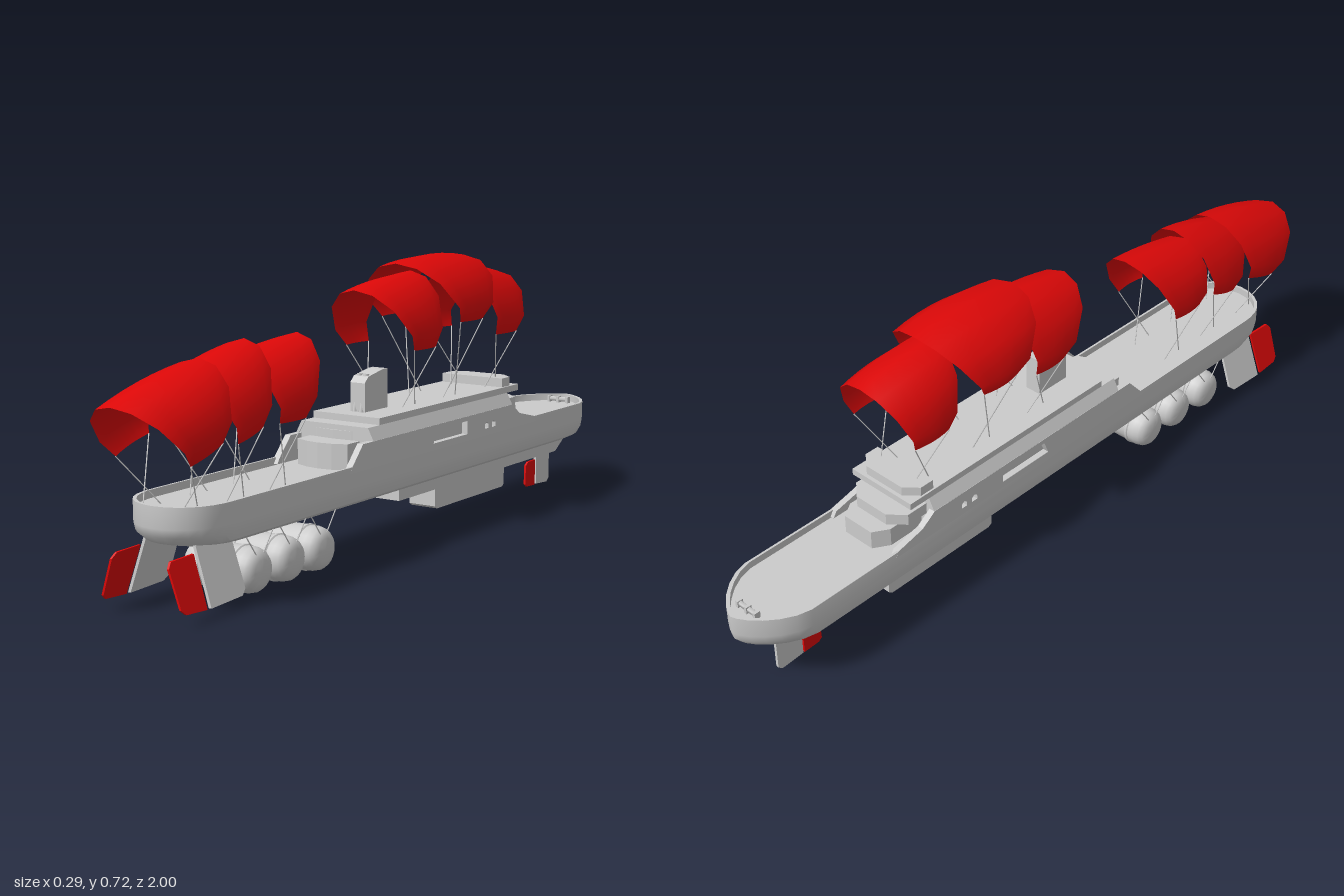
import * as THREE from 'three';
import { toCreasedNormals } from 'three/addons/utils/BufferGeometryUtils.js';

const grey = new THREE.MeshStandardMaterial({ color: 0xcccccc });
const red = new THREE.MeshStandardMaterial({ color: 0xdd0808 });
const sail = new THREE.MeshStandardMaterial({ color: 0xdd0808, side: THREE.DoubleSide });

export function createModel() {
  const model = new THREE.Group();
  const add = (name, geo, mat = grey, parent = model) => {
    const mesh = new THREE.Mesh(geo, mat);
    mesh.name = name;
    parent.add(mesh);
    return mesh;
  };
  const group = (name) => {
    const g = new THREE.Group();
    g.name = name;
    model.add(g);
    return g;
  };
  const box = (name, x0, x1, y0, y1, z0, z1, parent) =>
    add(name, new THREE.BoxGeometry(x1 - x0, y1 - y0, z1 - z0)
      .translate((x0 + x1) / 2, (y0 + y1) / 2, (z0 + z1) / 2), grey, parent);
  const toShape = (pts) => new THREE.Shape(pts.map(p => new THREE.Vector2(...p)));
  const extrude = (shape, depth) => new THREE.ExtrudeGeometry(shape, { depth, bevelEnabled: false, curveSegments: 6 });
  // Upright plate from (z, y) points, centred on x = 0
  const plate = (pts, width, holes = []) => {
    const shape = toShape(pts);
    shape.holes = holes.map(toShape);
    return extrude(shape, width).translate(0, 0, -width / 2).rotateY(-Math.PI / 2);
  };
  // Prism from a plan of (x, z) points
  const prism = (pts, y0, y1) =>
    extrude(toShape(pts.map(([x, z]) => [x, -z])), y1 - y0).rotateX(-Math.PI / 2).translate(0, y0, 0);
  const rod = (name, a, b, radius, parent) => {
    const p = new THREE.Vector3(...a), q = new THREE.Vector3(...b);
    const mesh = add(name, new THREE.CylinderGeometry(radius, radius, p.distanceTo(q), 5), grey, parent);
    mesh.position.copy(p).lerp(q, 0.5);
    mesh.quaternion.setFromUnitVectors(new THREE.Vector3(0, 1, 0), q.sub(p).normalize());
  };

  // Hull: stacked plan outlines, ending in the bulwark and sunken deck
  // each ring: y, half width, stern z, bow z
  const rings = [
    [0.148, 0.06, 0.76, -0.9], [0.152, 0.085, 0.8, -0.94], [0.165, 0.108, 0.85, -0.98],
    [0.185, 0.114, 0.875, -0.996], [0.205, 0.116, 0.88, -1], [0.255, 0.117, 0.88, -1],
    [0.255, 0.111, 0.872, -0.99], [0.236, 0.111, 0.872, -0.99]];
  const M = 14, N = 2 * M + 2;
  const pos = [], idx = [];
  for (const [y, w, zs, zb] of rings) {
    const side = [];
    for (let i = 0; i <= M; i++) {
      const stern = i <= M / 2;
      const a = (stern ? i / (M / 2) : (M - i + 0.0) / (M / 2 - 1)) * Math.PI / 2;
      const t = Math.cos(a);
      side.push(stern
        ? [w * Math.sqrt(Math.max(0, 1 - t ** 2.4)), zs - 0.14 * (1 - t)]
        : [w * Math.max(0, 1 - t ** 1.6) ** 0.7, zb + 0.14 * (1 - t)]);
    }
    side.forEach(([x, z]) => pos.push(x, y, z));
    side.reverse().forEach(([x, z]) => pos.push(-x, y, z));
  }
  for (let r = 0; r < rings.length - 1; r++)
    for (let i = 0; i < N; i++) {
      const a = r * N + i, b = r * N + (i + 1) % N;
      idx.push(a, b, b + N, a, b + N, a + N);
    }
  const top = (rings.length - 1) * N;
  for (let i = 0; i < M; i++) {
    const a = i, b = i + 1, c = N - 2 - i, d = N - 1 - i;
    idx.push(top + a, top + b, top + c, top + a, top + c, top + d, a, c, b, a, d, c);
  }
  const hull = new THREE.BufferGeometry();
  hull.setAttribute('position', new THREE.Float32BufferAttribute(pos, 3));
  hull.setIndex(idx);
  add('hull', toCreasedNormals(hull, 0.7));

  // Keel trunk and the pod below it
  add('keel', plate([[-0.02, 0.155], [-0.02, 0.108], [-0.85, 0.108], [-0.925, 0.155]], 0.09));
  add('keelPod', plate([[-0.2, 0.11], [-0.2, 0.06], [-0.21, 0.053], [-0.55, 0.053], [-0.56, 0.06], [-0.56, 0.11]], 0.08));

  // Superstructure: chamfered core with side walls pierced by openings
  add('superstructure', extrude(toShape([[-0.1, 0.23], [0.1, 0.23], [0.1, 0.303], [0.117, 0.303],
    [0.1, 0.335], [-0.1, 0.335], [-0.117, 0.303], [-0.1, 0.303]]), 0.67).translate(0, 0, -0.47));
  const port = (z) => [[z - 0.009, 0.258], [z - 0.009, 0.27], [z, 0.276], [z + 0.009, 0.27], [z + 0.009, 0.258]];
  for (const s of [-1, 1])
    add('sideWall', plate(
      [[0.3, 0.24], [0.29, 0.255], [0.245, 0.304], [-0.47, 0.304], [-0.51, 0.275], [-0.59, 0.256], [-0.6, 0.24]], 0.017,
      [[[-0.07, 0.257], [-0.085, 0.292], [-0.235, 0.292], [-0.235, 0.257]], port(-0.335), port(-0.37)],
    ).translate(s * 0.1085, 0, 0));
  box('roofDeck', -0.1, 0.1, 0.335, 0.352, -0.53, 0.15);
  const bowed = (w, z0, z1, bulge) => [[-w, z0], [-w, z1], [-w * 0.5, z1 + bulge * 0.75], [0, z1 + bulge],
    [w * 0.5, z1 + bulge * 0.75], [w, z1], [w, z0]];
  add('aftLowerHouse', prism(bowed(0.075, 0.15, 0.25, 0.02), 0.23, 0.3));
  add('aftUpperHouse', prism(bowed(0.1, 0.15, 0.19, 0.015), 0.3, 0.322));
  add('foreLowerHouse', prism([[-0.07, -0.45], [0.07, -0.45], [0.07, -0.57], [0.045, -0.61], [-0.045, -0.61], [-0.07, -0.57]], 0.23, 0.285));
  add('foreUpperHouse', prism([[-0.09, -0.45], [0.09, -0.45], [0.09, -0.53], [0.05, -0.565], [-0.05, -0.565], [-0.09, -0.53]], 0.285, 0.315));
  add('bridge', prism([[-0.095, -0.45], [0.095, -0.45], [0.095, -0.49], [0.06, -0.52], [-0.06, -0.52], [-0.095, -0.49]], 0.352, 0.376));

  // Funnel with exhaust pipes
  add('funnel', plate([[0.1, 0.345], [0.1, 0.425], [0.085, 0.44], [0.02, 0.452], [0, 0.452], [0, 0.345]], 0.044));
  for (const s of [-1, 1]) rod('exhaustPipe', [s * 0.01, 0.35, 0.098], [s * 0.01, 0.445, 0.075], 0.008);

  // Bow mooring winch
  const winch = group('winch');
  rod('drum', [-0.032, 0.246, -0.95], [0.032, 0.246, -0.95], 0.007, winch);
  for (const x of [-0.03, 0, 0.03]) box('winchStand', x - 0.004, x + 0.004, 0.235, 0.254, -0.958, -0.942, winch);

  // Splayed stern rudders
  const splay = (geo, s) => {
    const p = geo.attributes.position;
    for (let i = 0; i < p.count; i++) p.setX(i, p.getX(i) + s * (0.062 + (0.19 - p.getY(i)) * 0.345));
    geo.computeVertexNormals();
    return geo;
  };
  for (const s of [-1, 1]) {
    add('sternFin', splay(plate([[0.70, 0.19], [0.70, 0.05], [0.715, 0.037], [0.825, 0.033], [0.82, 0.19]], 0.008), s));
    add('sternRudder', splay(plate([[0.832, 0.15], [0.837, 0.033], [0.905, 0.037], [0.917, 0.048],
      [0.92, 0.135], [0.908, 0.148]], 0.006), s), red);
  }
  // Single bow rudder
  add('bowFin', plate([[-0.81, 0.12], [-0.81, 0.012], [-0.875, 0.008], [-0.887, 0.018], [-0.887, 0.12]], 0.008));
  add('bowRudder', plate([[-0.805, 0.085], [-0.805, 0.01], [-0.76, 0.012], [-0.75, 0.02], [-0.752, 0.075], [-0.765, 0.084]], 0.006), red);

  // Three slung tanks
  const half = [[0, 0.1], [0.028, 0.101], [0.042, 0.095], [0.05, 0.085], [0.054, 0.07], [0.054, 0.052], [0.057, 0.05], [0.057, 0.044], [0.054, 0.042]];
  const profile = [...half.map(([r, x]) => [r, -x]), ...half.slice().reverse()].map(p => new THREE.Vector2(...p));
  for (const z of [0.62, 0.495, 0.375]) {
    const tank = group('tank');
    add('tankBody', toCreasedNormals(new THREE.LatheGeometry(profile, 24).rotateZ(Math.PI / 2).translate(0, 0.068, z), 0.6), grey, tank);
    for (const s of [-1, 1]) for (const d of [-1, 1])
      rod('tankSling', [s * 0.093, 0.09, z], [s * 0.093, 0.165, z + d * 0.055], 0.0015, tank);
  }

  // Kite canopies: arched sheets, wide in z at the crown and narrow at the tips
  const arch = [[0, 0], [0.42, 0.075], [0.8, 0.32], [1, 0.74], [0.88, 1]]; // x factor, drop factor
  const full = [...arch.slice(1).reverse().map(([x, d]) => [-x, d]), ...arch];
  // front / back crown and tip points as [z, y]
  function canopy(w, crownF, crownB, tipF, tipB, lift, anchorY) {
    const kite = group('kite');
    const V = 6, p = [], f = [];
    for (let j = 0; j <= V; j++) {
      const v = j / V, bow = 4 * v * (1 - v), mix = (a, b, k) => a[k] + (b[k] - a[k]) * v;
      for (const [x, d] of full) {
        const z = mix(crownF, crownB, 0) * (1 - d) + mix(tipF, tipB, 0) * d;
        const y = (mix(crownF, crownB, 1) + lift * bow) * (1 - d) + mix(tipF, tipB, 1) * d;
        p.push(x * w * (0.94 + 0.06 * bow), y, z);
      }
    }
    const n = full.length;
    for (let j = 0; j < V; j++) for (let i = 0; i < n - 1; i++) {
      const a = j * n + i;
      f.push(a, a + 1, a + n, a + 1, a + n + 1, a + n);
    }
    const geo = new THREE.BufferGeometry();
    geo.setAttribute('position', new THREE.Float32BufferAttribute(p, 3));
    geo.setIndex(f);
    geo.computeVertexNormals();
    add('canopy', geo, sail, kite);
    // Crossing tethers down to the deck
    const mid = (tipF[0] + tipB[0]) / 2;
    for (const s of [-1, 1]) {
      rod('tether', [s * w * 0.83, tipF[1], tipF[0]], [s * 0.053, anchorY, mid - 0.03], 0.0015, kite);
      rod('tether', [s * w * 0.83, tipB[1], tipB[0]], [s * 0.053, anchorY, mid + 0.03], 0.0015, kite);
    }
  }
  canopy(0.128, [1, 0.485], [0.71, 0.557], [0.87, 0.35], [0.76, 0.385], 0.008, 0.236);
  canopy(0.12, [0.78, 0.525], [0.55, 0.584], [0.7, 0.372], [0.61, 0.398], 0.006, 0.236);
  canopy(0.12, [0.6, 0.54], [0.35, 0.578], [0.55, 0.396], [0.45, 0.396], 0.004, 0.236);
  canopy(0.125, [0.115, 0.657], [-0.14, 0.688], [0, 0.502], [-0.1, 0.502], 0.006, 0.35);
  canopy(0.147, [-0.07, 0.71], [-0.4, 0.712], [-0.19, 0.557], [-0.3, 0.557], 0.014, 0.35);
  canopy(0.125, [-0.34, 0.688], [-0.575, 0.657], [-0.4, 0.502], [-0.51, 0.502], 0.006, 0.35);

  return model;
}
